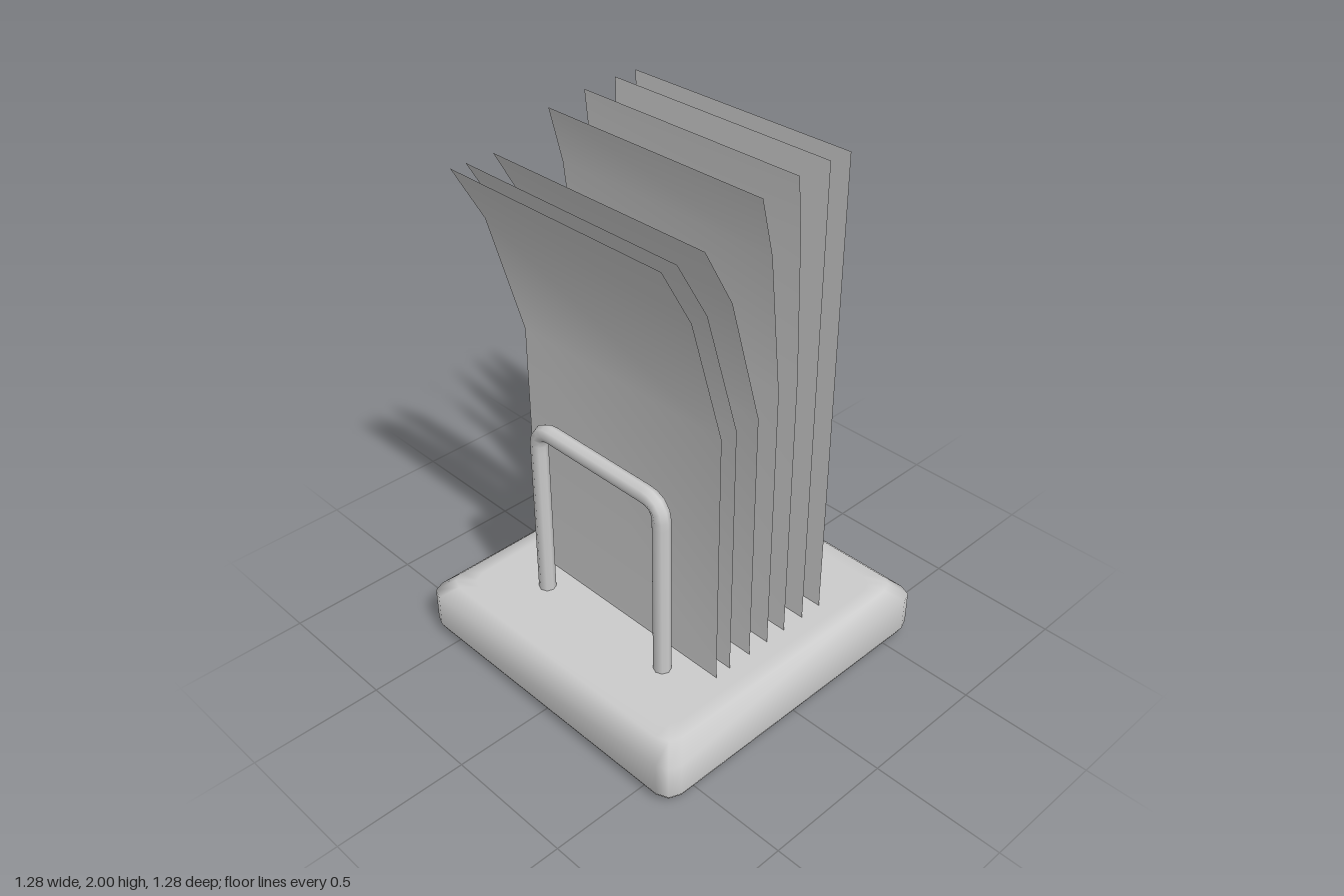
import * as THREE from 'three';

const material = new THREE.MeshStandardMaterial({ color: 0xcccccc });
const sheetMaterial = new THREE.MeshStandardMaterial({ color: 0xcccccc, side: THREE.DoubleSide });

function indexed(positions, indices) {
  const geometry = new THREE.BufferGeometry();
  geometry.setAttribute('position', new THREE.Float32BufferAttribute(positions, 3));
  geometry.setIndex(indices);
  geometry.computeVertexNormals();
  return geometry;
}

// Square slab with softened edges: stacked rings of a square with rounded corners
function createBase() {
  const rings = [[0, 0.55], [0, 0.595], [0.012, 0.625], [0.04, 0.64], [0.17, 0.64], [0.22, 0.585], [0.22, 0.53]];
  const radius = 0.06, steps = 2, count = 4 * (steps + 1);
  const positions = [], indices = [];
  for (const [y, half] of rings) {
    for (let corner = 0; corner < 4; corner++) {
      const start = corner * Math.PI / 2, mid = start + Math.PI / 4;
      const inset = (half - radius) * Math.SQRT2;
      for (let s = 0; s <= steps; s++) {
        const a = start + (s / steps) * Math.PI / 2;
        positions.push(Math.cos(mid) * inset + Math.cos(a) * radius, y, Math.sin(mid) * inset + Math.sin(a) * radius);
      }
    }
  }
  for (let r = 0; r < rings.length - 1; r++) {
    for (let i = 0; i < count; i++) {
      const a = r * count + i, b = r * count + (i + 1) % count;
      indices.push(a, a + count, b, b, a + count, b + count);
    }
  }
  // Caps
  const bottom = positions.length / 3, top = bottom + 1, last = (rings.length - 1) * count;
  positions.push(0, 0, 0, 0, 0.22, 0);
  for (let i = 0; i < count; i++) {
    const j = (i + 1) % count;
    indices.push(bottom, i, j, top, last + j, last + i);
  }
  return indexed(positions, indices);
}

// Upside-down U of bent wire
function createWire() {
  const x = 0.305, top = 0.93, bend = 0.075;
  const p = (px, py) => new THREE.Vector3(px, py, 0);
  const path = new THREE.CurvePath();
  path.add(new THREE.LineCurve3(p(-x, 0.18), p(-x, top - bend)));
  path.add(new THREE.QuadraticBezierCurve3(p(-x, top - bend), p(-x, top), p(-x + bend, top)));
  path.add(new THREE.LineCurve3(p(-x + bend, top), p(x - bend, top)));
  path.add(new THREE.QuadraticBezierCurve3(p(x - bend, top), p(x, top), p(x, top - bend)));
  path.add(new THREE.LineCurve3(p(x, top - bend), p(x, 0.18)));
  return new THREE.TubeGeometry(path, 72, 0.032, 8, false);
}

// Thin sheet whose upper part leans forward by a given amount
function createSheet(z, lean, height) {
  const profile = [[0.2, 0], [0.615 * height + 0.05, 0], [height - 0.2 - (2 - height) * 0.1, 0.53 * lean], [height, lean]];
  const positions = [], indices = [];
  profile.forEach(([y, dz], i) => {
    positions.push(-0.47, y, z + dz, 0.47, y, z + dz);
    if (i > 0) {
      const a = 2 * i - 2;
      indices.push(a, a + 1, a + 2, a + 1, a + 3, a + 2);
    }
  });
  return indexed(positions, indices);
}

export function createModel() {
  const group = new THREE.Group();
  const add = (name, geometry, mat = material) => {
    const mesh = new THREE.Mesh(geometry, mat);
    mesh.name = name;
    group.add(mesh);
    return mesh;
  };

  add('base', createBase());

  const wire = createWire();
  add('frontWire', wire).position.z = 0.343;
  add('backWire', wire).position.z = -0.343;

  // Sheets from front to back: depth, forward lean, top height
  const sheets = [
    [0.245, 0.253, 1.89], [0.178, 0.26, 1.89], [0.079, 0.25, 1.89],
    [-0.012, 0.107, 1.975], [-0.1, 0.04, 1.995], [-0.197, 0, 2], [-0.29, 0, 2],
  ];
  sheets.forEach((s, i) => add(`sheet${i + 1}`, createSheet(...s), sheetMaterial));

  return group;
}
